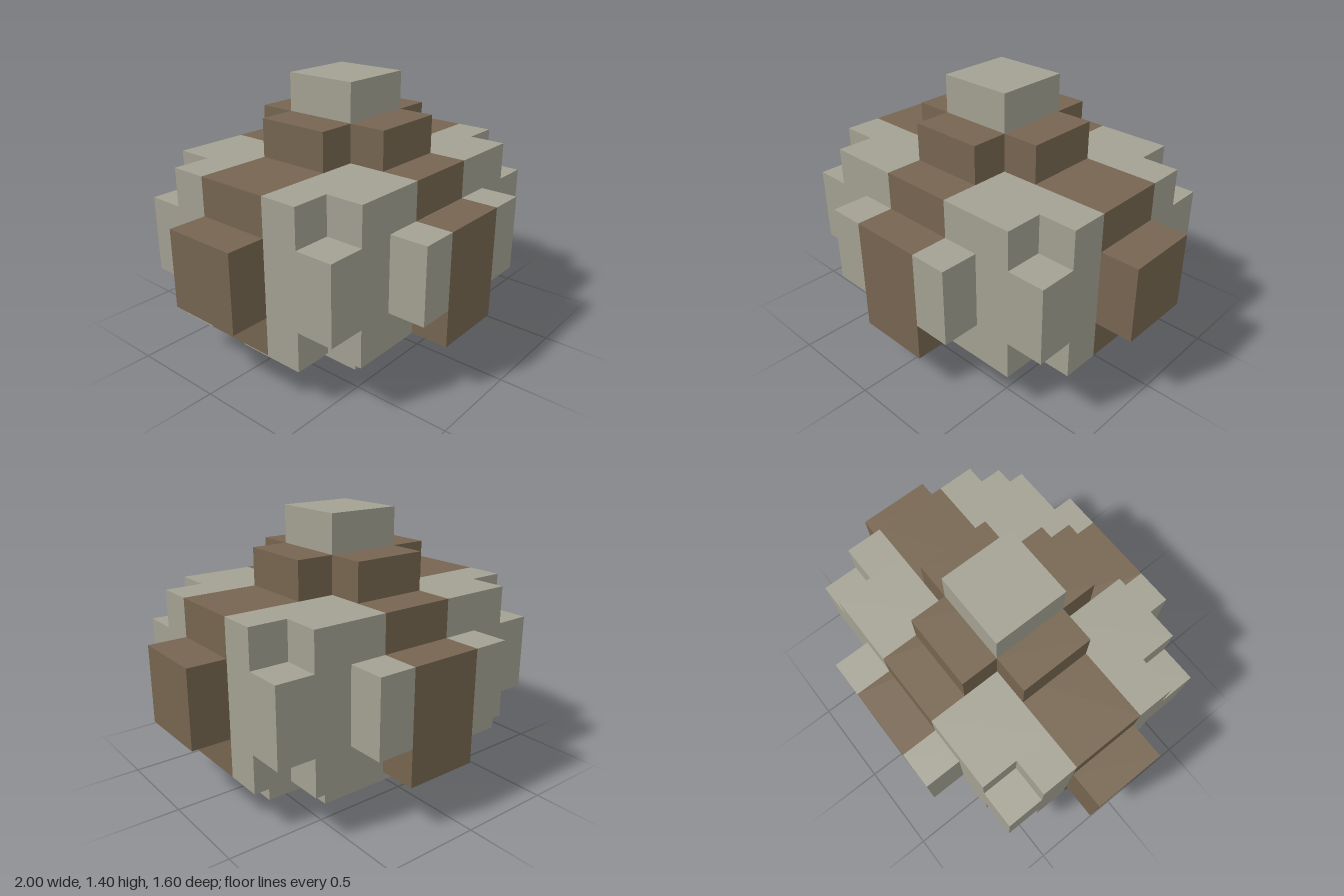
import * as THREE from 'three';

const U = 0.2; // size of one block

export function createModel() {
  const model = new THREE.Group();
  model.name = 'blockPod';

  const stone = new THREE.MeshStandardMaterial({ color: 0xa3a192 });
  stone.name = 'greyStone';
  const wood = new THREE.MeshStandardMaterial({ color: 0x766550 });
  wood.name = 'brownBand';

  // Box from min/max corners, given in block units
  function block(name, material, [x0, x1], [y0, y1], [z0, z1]) {
    const geometry = new THREE.BoxGeometry((x1 - x0) * U, (y1 - y0) * U, (z1 - z0) * U);
    const mesh = new THREE.Mesh(geometry, material);
    mesh.name = name;
    mesh.position.set((x0 + x1) * U / 2, (y0 + y1) * U / 2, (z0 + z1) * U / 2);
    model.add(mesh);
  }
  const side = (s, a, b) => (s > 0 ? [a, b] : [-b, -a]);

  // Base: a slab with notched corners
  block('baseCentre', stone, [-2, 2], [0, 1], [-2, 2]);

  // Brown band running front to back
  block('frontBackBand', wood, [-1, 1], [1, 4], [-4, 4]);
  block('frontBackBandTop', wood, [-1, 1], [4, 5], [-3, 3]);

  // Crown and cap
  block('crownCentre', wood, [-1, 1], [5, 6], [-2, 2]);
  block('cap', stone, [-1, 1], [6, 7], [-1, 1]);

  for (const sx of [1, -1]) {
    block('baseSide', stone, side(sx, 2, 3), [0, 1], [-1, 1]);
    // Brown band running side to side, with its knob and crown arm
    block('sideBand', wood, side(sx, 1, 4), [1, 5], [-1, 1]);
    block('sideKnob', wood, side(sx, 4, 5), [2, 4], [-1, 1]);
    block('crownArm', wood, side(sx, 1, 2), [5, 6], [-1, 1]);

    // Grey body quarters, notched at the upper and lower corners
    for (const sz of [1, -1]) {
      block('bodyQuarter', stone, side(sx, 1, 3), [1, 5], side(sz, 1, 3));
      block('bodyQuarterSide', stone, side(sx, 3, 4), [1, 5], side(sz, 1, 2));
      block('bodyCorner', stone, side(sx, 3, 4), [2, 4], side(sz, 2, 3));
      block('bandFlank', stone, side(sx, 1, 2), [2, 4], side(sz, 3, 4));
    }
  }
  return model;
}
